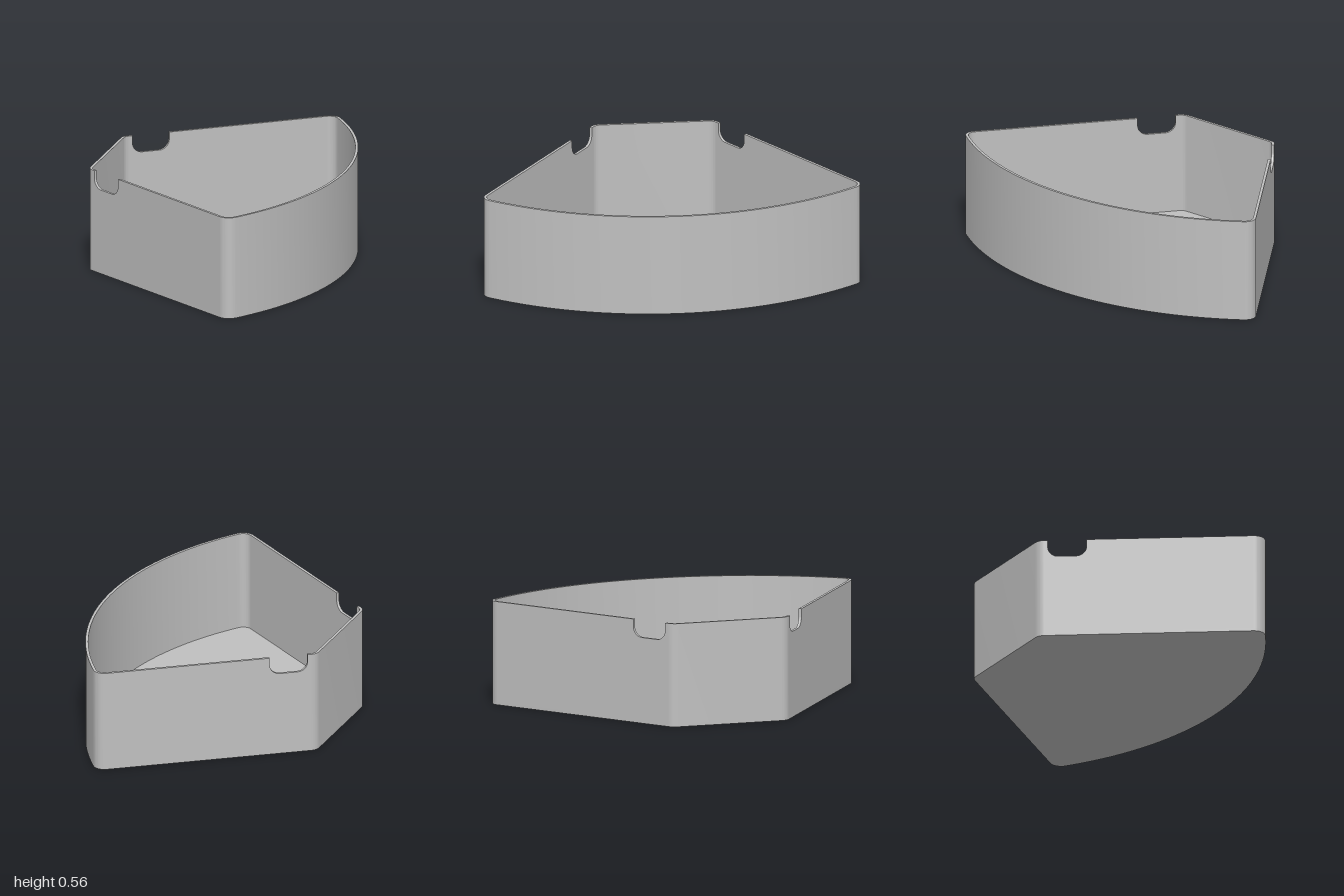
import * as THREE from 'three';
import { toCreasedNormals } from 'three/addons/utils/BufferGeometryUtils.js';

const H = 0.555, T = 0.015, R_CORNER = 0.06;
const A = Math.PI / 5;                       // half the opening angle of the wedge
const SIN = Math.sin(A), COS = Math.cos(A);
const SIDE = A + Math.PI / 2;                // outward direction of the slanted side

// Plan layout (x, z): centres of the rounded corners and of the big arc
const arcCentre = { x: -1.0, y: 0 };
const tip = { x: 0.295, y: 0.94 };
const sideOffset = -SIN * tip.x + COS * tip.y;
const rearX = -0.662 + R_CORNER;
const rear = { x: rearX, y: (sideOffset + SIN * rearX) / COS };
const PHI = Math.atan2(tip.y - arcCentre.y, tip.x - arcCentre.x);
const R_ARC = Math.hypot(tip.x - arcCentre.x, tip.y - arcCentre.y) + R_CORNER;
const flip = (p) => ({ x: p.x, y: -p.y });

function arc(c, r, from, to, n) {
  return Array.from({ length: n + 1 }, (_, i) => {
    const a = from + (to - from) * i / n;
    return new THREE.Vector2(c.x + r * Math.cos(a), c.y + r * Math.sin(a));
  });
}

// Curved face with both tips, and rear face with both corners, inset by d
const bowPath = (d) => [
  ...arc(flip(tip), R_CORNER - d, -SIDE, -PHI, 12),
  ...arc(arcCentre, R_ARC - d, -PHI, PHI, 56).slice(1, -1),
  ...arc(tip, R_CORNER - d, PHI, SIDE, 12),
];
const rearPath = (d) => [
  ...arc(rear, R_CORNER - d, SIDE, Math.PI, 10),
  ...arc(flip(rear), R_CORNER - d, Math.PI, 2 * Math.PI - SIDE, 10),
];

// Plan outline raised from y0 to y1
function raise(points, y0, y1) {
  const geo = new THREE.ExtrudeGeometry(new THREE.Shape(points), { depth: y1 - y0, bevelEnabled: false });
  geo.rotateX(-Math.PI / 2).translate(0, y0, 0);
  return toCreasedNormals(geo, 0.5);
}

// Slanted side in elevation, with a round-bottomed notch in the top edge
function sideShape(length, s0, s1) {
  const r = 0.055, yb = 0.461;
  const s = new THREE.Shape();
  s.moveTo(0, T);
  s.lineTo(length, T);
  s.lineTo(length, H);
  s.lineTo(s1, H);
  s.lineTo(s1, yb + r);
  s.absarc(s1 - r, yb + r, r, 0, -Math.PI / 2, true);
  s.lineTo(s0 + r, yb);
  s.absarc(s0 + r, yb + r, r, -Math.PI / 2, -Math.PI, true);
  s.lineTo(s0, H);
  s.lineTo(0, H);
  s.closePath();
  return s;
}

export function createModel() {
  const group = new THREE.Group();
  group.name = 'wedgeTray';
  const grey = new THREE.MeshStandardMaterial({ color: 0xc0c0c0 });
  grey.name = 'grey';

  const add = (name, geo) => {
    const mesh = new THREE.Mesh(geo, grey);
    mesh.name = name;
    group.add(mesh);
    return mesh;
  };

  add('floor', raise([...bowPath(0), ...rearPath(0)], 0, T));
  add('curvedWall', raise([...bowPath(0), ...bowPath(T).reverse()], T, H));
  add('rearWall', raise([...rearPath(0), ...rearPath(T).reverse()], T, H));

  // Slanted walls, one on each side
  const startX = rear.x - R_CORNER * SIN, startZ = rear.y + R_CORNER * COS;
  const length = Math.hypot(tip.x - rear.x, tip.y - rear.y);
  const shape = sideShape(length, (-0.622 - startX) / COS, (-0.455 - startX) / COS);
  for (const side of [1, -1]) {
    const geo = new THREE.ExtrudeGeometry(shape, { depth: T, bevelEnabled: false, curveSegments: 10 });
    if (side > 0) geo.translate(0, 0, -T);
    const wall = add(side > 0 ? 'frontSideWall' : 'backSideWall', toCreasedNormals(geo, 0.5));
    wall.position.set(startX, 0, side * startZ);
    wall.rotation.y = -side * A;
  }
  return group;
}
